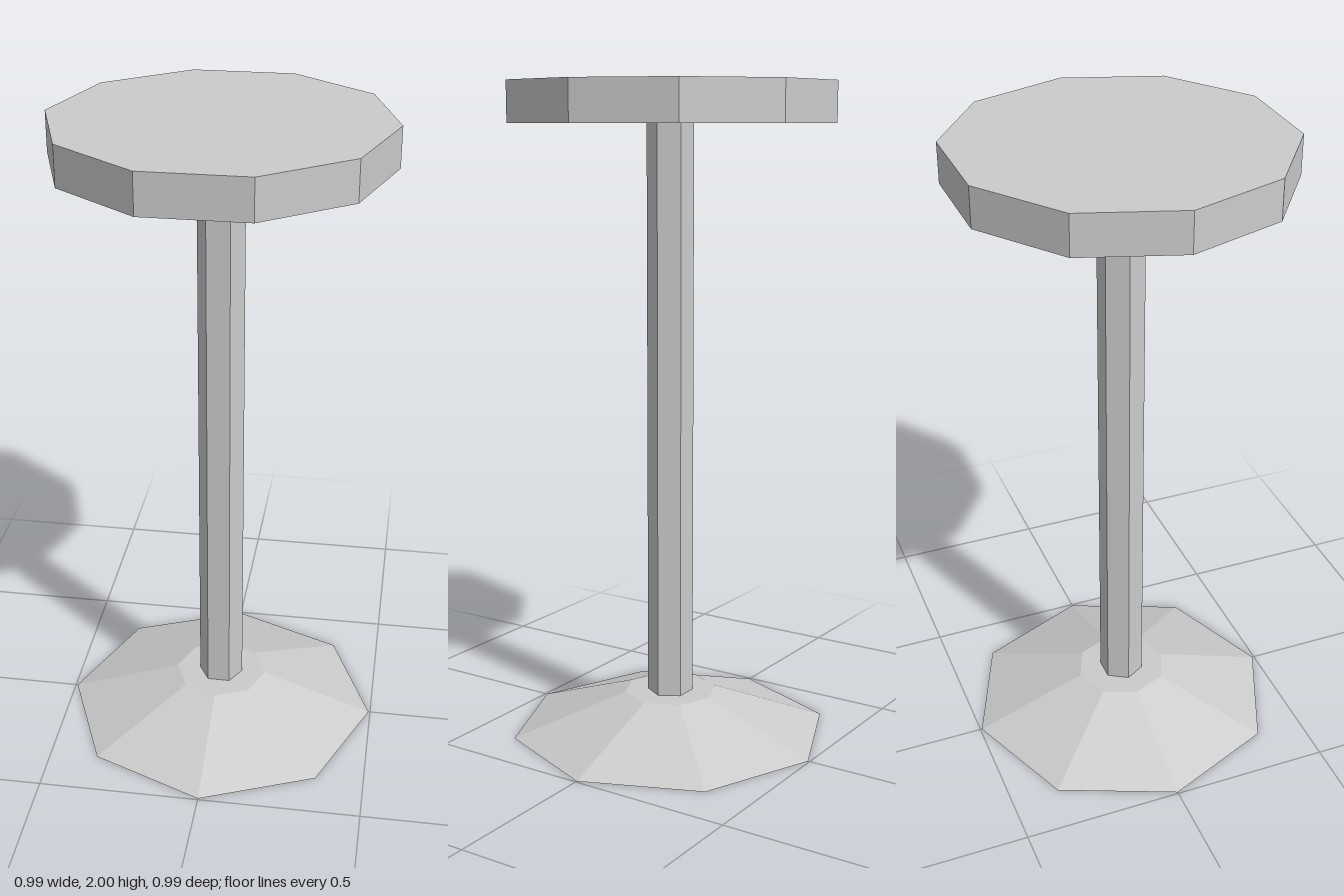
import * as THREE from 'three';

const material = new THREE.MeshStandardMaterial({ color: 0xcccccc, flatShading: true });

// Faceted column between two heights, with one corner pointing along +x
function prism(name, topRadius, bottomRadius, y0, y1, sides) {
  const geometry = new THREE.CylinderGeometry(
    topRadius, bottomRadius, y1 - y0, sides, 1, false, Math.PI / 2);
  const mesh = new THREE.Mesh(geometry, material);
  mesh.name = name;
  mesh.position.y = (y0 + y1) / 2;
  return mesh;
}

export function createModel() {
  const stool = new THREE.Group();
  stool.name = 'stool';
  stool.add(
    prism('base', 0.145, 0.495, 0, 0.125, 8),     // sloping octagonal foot
    prism('pole', 0.07, 0.07, 0.125, 1.88, 6),    // hexagonal post
    prism('seat', 0.495, 0.495, 1.88, 2, 10),     // ten-sided seat
  );
  return stool;
}
